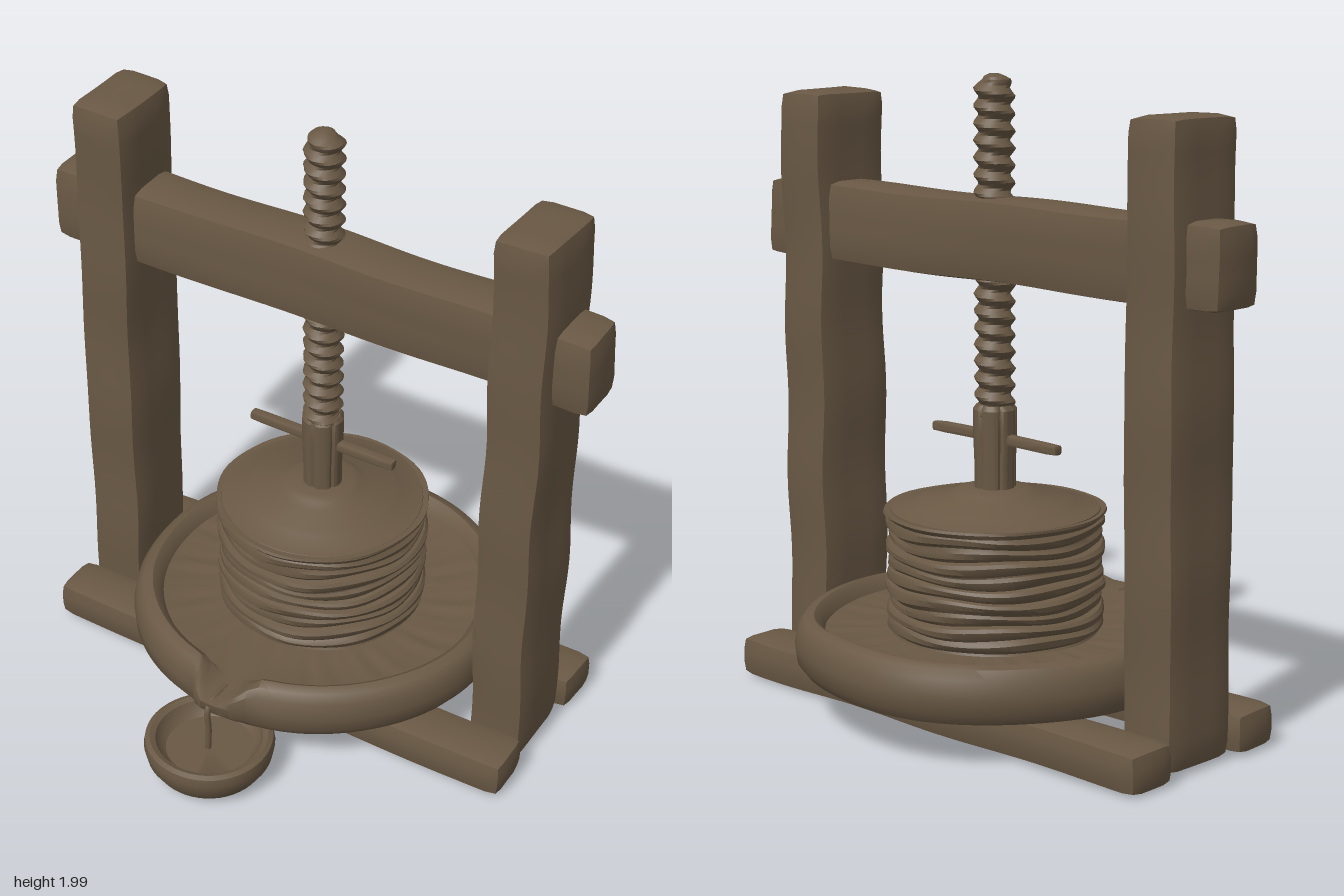
import * as THREE from 'three';
import { mergeVertices, toCreasedNormals } from 'three/addons/utils/BufferGeometryUtils.js';

const wood = new THREE.MeshStandardMaterial({ color: 0x695844 });
wood.name = 'weathered wood';

const AXIS_Z = -0.135; // the screw, stack and basin share this axis

// Weld a geometry, move its vertices by a rule, then keep only the sharp edges creased.
function sculpt(geometry, rule, crease = 0.6) {
  geometry.deleteAttribute('normal');
  geometry.deleteAttribute('uv');
  const g = mergeVertices(geometry, 1e-4);
  const pos = g.attributes.position;
  const v = new THREE.Vector3();
  for (let i = 0; i < pos.count; i++) {
    rule(v.fromBufferAttribute(pos, i));
    pos.setXYZ(i, v.x, v.y, v.z);
  }
  return toCreasedNormals(g, crease);
}

// Smooth hand-hewn unevenness
function wobble(v, amount, seed = 0) {
  const { x, y, z } = v;
  v.x += amount * Math.sin(9 * y + 5 * z + seed) * Math.cos(4 * y - 7 * z + seed * 2);
  v.y += amount * 0.6 * Math.sin(8 * x + 6 * z + seed * 3);
  v.z += amount * Math.sin(7 * y + 6 * x + seed * 5) * Math.cos(3 * x - 5 * y);
}

// Timber with softened edges, given by its min and max corners
function timber(name, min, max, seed, soft = 0.03, amount = 0.006) {
  const size = max.map((m, i) => m - min[i]);
  const seg = size.map((s) => Math.max(3, Math.round(s / 0.05)));
  const half = size.map((s) => s / 2);
  const core = new THREE.Vector3(...half).subScalar(soft);
  const low = core.clone().negate();
  const geo = sculpt(new THREE.BoxGeometry(...size, ...seg), (v) => {
    const q = v.clone().clamp(low, core);
    v.sub(q).setLength(soft).add(q);
    wobble(v, amount, seed);
  });
  const mesh = new THREE.Mesh(geo, wood);
  mesh.name = name;
  mesh.position.set(...max.map((m, i) => (m + min[i]) / 2));
  return mesh;
}

// Turned part from [radius, height] pairs, bottom to top
function turned(name, profile, z, segments, rule, crease) {
  const points = profile.map(([r, y]) => new THREE.Vector2(r, y));
  const mesh = new THREE.Mesh(sculpt(new THREE.LatheGeometry(points, segments), rule, crease), wood);
  mesh.name = name;
  mesh.position.z = z;
  return mesh;
}

function basin() {
  const profile = [
    [0, 0.14], [0.3, 0.14], [0.53, 0.142], [0.59, 0.155], [0.615, 0.19], [0.62, 0.24], [0.61, 0.295],
    [0.59, 0.322], [0.56, 0.33], [0.54, 0.315], [0.525, 0.285], [0.46, 0.278], [0.4, 0.276], [0.33, 0.278], [0, 0.278],
  ];
  return turned('basin', profile, AXIS_Z, 120, (v) => {
    const r = Math.hypot(v.x, v.z);
    const angle = Math.atan2(v.x, v.z);
    // radial grooves on the floor
    if (v.y > 0.27 && r > 0.35 && r < 0.5) v.y += 0.005 * Math.sin(angle * 31) * Math.sin(angle * 7 + 1);
    // pouring spout pulled out of the front of the rim
    if (v.z > 0 && r > 0.5) {
      const w = Math.exp(-((v.x / 0.085) ** 4));
      if (r > 0.545) v.z += 0.06 * w;
      v.y += (v.y > 0.27 ? -Math.max(0, v.y - 0.272) : 0.27 * (0.28 - v.y) + 0.02) * w;
    }
    if (r > 0.5) wobble(v, 0.006, 1.3);
  }, 0.7);
}

// Pile of pressed mats with ragged edges
function matStack() {
  const profile = [[0, 0.27], [0.33, 0.27]];
  const layers = 9;
  for (let i = 0; i < layers; i++) {
    const y = 0.285 + i * 0.04;
    const r = 0.335 + 0.006 * Math.sin(i * 2.4);
    profile.push([r - 0.012, y], [r, y + 0.01], [r + 0.003, y + 0.026], [r - 0.004, y + 0.036]);
  }
  profile.push([0.345, 0.655], [0.343, 0.663], [0.32, 0.661], [0, 0.66]);
  return turned('matStack', profile, AXIS_Z, 64, (v) => {
    const r = Math.hypot(v.x, v.z);
    if (r < 0.3) return;
    const a = Math.atan2(v.x, v.z);
    const k = 1 + 0.012 * Math.sin(a * 5 + v.y * 60) * Math.sin(a * 3 - v.y * 95);
    v.x *= k;
    v.z *= k;
    if (v.y > 0.3 && v.y < 0.64) v.y += 0.006 * Math.sin(a * 4 + v.y * 30);
  }, 0.5);
}

// Spindle: a helical thread with a domed tip
function screw() {
  const bottom = 0.95, top = 2, pitch = 0.052;
  const geo = new THREE.CylinderGeometry(1, 1, top - bottom, 24, 126);
  const mesh = new THREE.Mesh(sculpt(geo, (v) => {
    const y = v.y + (top + bottom) / 2;
    const turn = y / pitch + Math.atan2(v.x, v.z) / (2 * Math.PI);
    const ridge = Math.abs(2 * (turn - Math.floor(turn)) - 1);
    const dome = Math.sqrt(Math.max(0, 1 - Math.max(0, (y - 1.95) / 0.052) ** 2));
    const r = (0.046 + 0.02 * ridge) * dome;
    v.set(v.x * r, y, v.z * r);
  }, 0.5), wood);
  mesh.name = 'screw';
  mesh.position.z = AXIS_Z;
  return mesh;
}

export function createModel() {
  const press = new THREE.Group();
  press.name = 'screwPress';

  // Frame: two skids, two posts and the crossbeam
  press.add(
    timber('frontSkid', [-0.855, 0.01, 0.025], [0.855, 0.14, 0.2], 0.4),
    timber('backSkid', [-0.855, 0.01, -0.46], [0.855, 0.14, -0.28], 2.1),
    timber('leftPost', [0.64, 0.015, -0.275], [0.83, 1.92, 0.015], 1.7),
    timber('rightPost', [-0.83, 0.015, -0.275], [-0.64, 1.92, 0.015], 3.2),
    timber('crossbeam', [-0.95, 1.375, -0.23], [0.95, 1.628, -0.04], 0.9),
  );

  press.add(basin(), matStack());

  // Pressing lid with a raised hub
  press.add(turned('pressLid', [
    [0, 0.65], [0.33, 0.65], [0.325, 0.665], [0.25, 0.682], [0.235, 0.692],
    [0.15, 0.702], [0.125, 0.718], [0.1, 0.727], [0, 0.727],
  ], AXIS_Z, 48, (v) => { if (v.y > 0.66) wobble(v, 0.004, 0.6); }));

  // Screw, its slotted collar and the turning bar
  press.add(screw());
  press.add(turned('collar', [
    [0, 0.7], [0.064, 0.7], [0.064, 0.8], [0.068, 0.9], [0.068, 0.975], [0.058, 0.99], [0, 0.99],
  ], AXIS_Z, 48, (v) => {
    const k = 1 - 0.12 * Math.max(0, Math.cos(Math.atan2(v.x, v.z) * 6)) ** 4;
    v.x *= k;
    v.z *= k;
  }, 0.5));
  press.add(timber('turningBar', [-0.27, 0.866, AXIS_Z - 0.018], [0.265, 0.9, AXIS_Z + 0.018], 0.2, 0.01, 0.003));

  // Catch bowl under the spout
  press.add(turned('catchBowl', [
    [0, 0.005], [0.13, 0.008], [0.175, 0.025], [0.2, 0.065], [0.21, 0.11], [0.205, 0.135],
    [0.19, 0.142], [0.172, 0.134], [0.16, 0.105], [0.14, 0.09], [0, 0.088],
  ], 0.542, 48, (v) => wobble(v, 0.004, 2.2)));

  // Juice running off the spout into the bowl
  const path = new THREE.CatmullRomCurve3([
    [0, 0.272, 0.44], [0, 0.268, 0.52], [0, 0.245, 0.545], [0.004, 0.17, 0.548], [0, 0.085, 0.548],
  ].map((p) => new THREE.Vector3(...p)));
  const stream = new THREE.Mesh(new THREE.TubeGeometry(path, 24, 0.01, 8), wood);
  stream.name = 'juiceStream';
  press.add(stream);

  return press;
}
